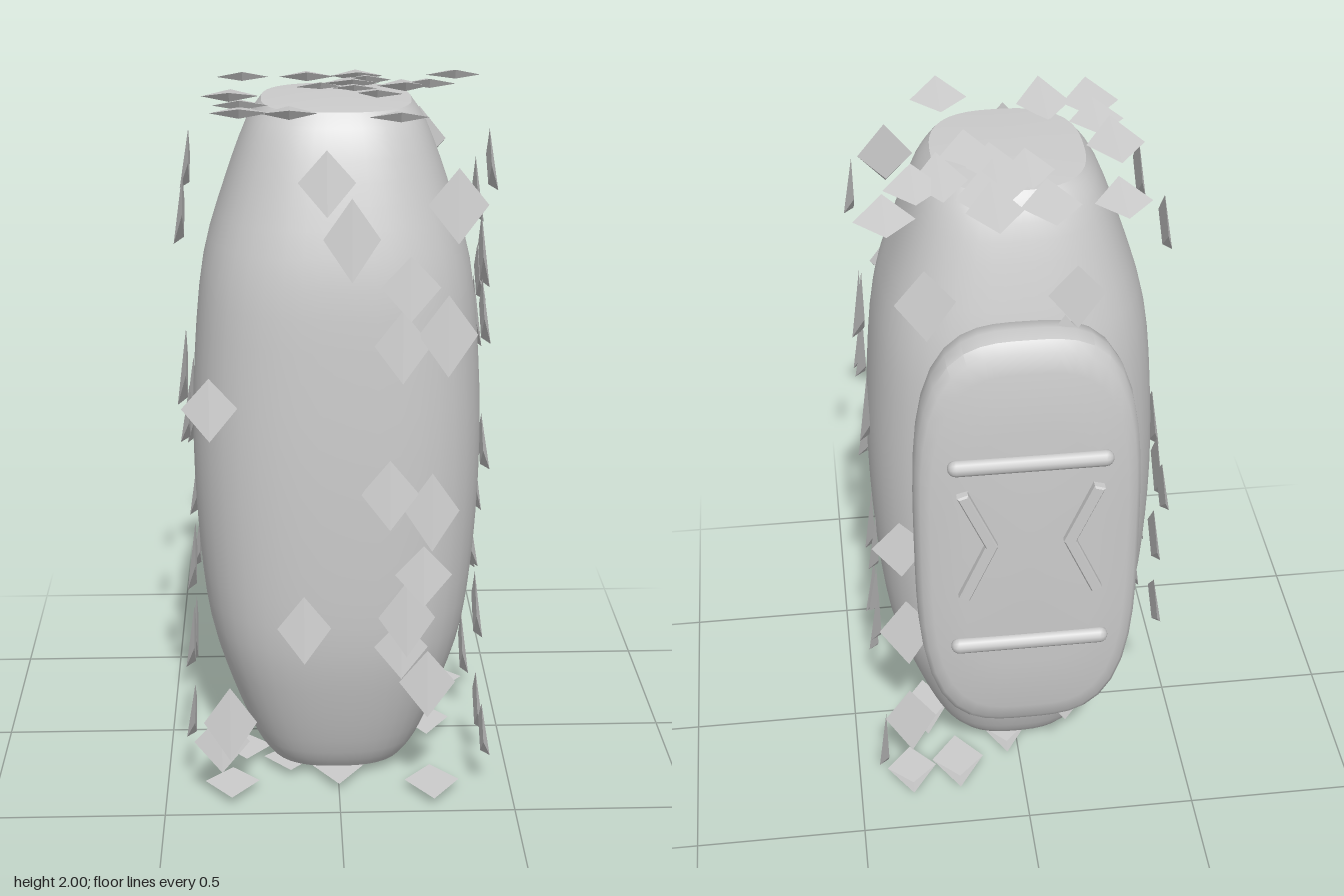
import * as THREE from 'three';
import { mergeVertices, toCreasedNormals } from 'three/addons/utils/BufferGeometryUtils.js';

const grey = new THREE.MeshStandardMaterial({ color: 0xcccccc });
const flatGrey = new THREE.MeshStandardMaterial({ color: 0xcccccc, flatShading: true });

function add(group, name, geometry, material = grey) {
  const mesh = new THREE.Mesh(geometry, material);
  mesh.name = name;
  group.add(mesh);
  return mesh;
}

// Lathe whose round section becomes a squarish superellipse; depth(y) is the z factor
function squareLathe(profile, power, width, depth) {
  let g = new THREE.LatheGeometry(profile.map(([r, y]) => new THREE.Vector2(r, y)), 48);
  const p = g.attributes.position;
  for (let i = 0; i < p.count; i++) {
    const x = p.getX(i), y = p.getY(i), z = p.getZ(i);
    const r = Math.hypot(x, z);
    if (r < 1e-6) continue;
    const k = Math.pow(Math.abs(x / r) ** power + Math.abs(z / r) ** power, -1 / power);
    p.setX(i, x * k * width);
    p.setZ(i, z * k * depth(y));
  }
  g.deleteAttribute('uv');
  g.deleteAttribute('normal');
  g = mergeVertices(g, 1e-4);
  return toCreasedNormals(g, 0.75);
}

// Kite-shaped scale: top point lies on the surface, lower tip lifts away from it
function scaleGeometry() {
  const T = [0, 1, 0], L = [-1, 0, 0], R = [1, 0, 0], B = [0, -1, 1], C = [0, -0.8, 0];
  const faces = [T, L, B, T, B, R, L, C, B, B, C, R, T, C, L, T, R, C];
  const g = new THREE.BufferGeometry();
  g.setAttribute('position', new THREE.Float32BufferAttribute(faces.flat(), 3));
  g.computeVertexNormals();
  return g;
}

// Each side: rotation, placement of (a, b) on its plane, and the scale centres
const sides = {
  front: {
    rot: [0, 0, 0], at: (a, b) => [a, b, 0.456],
    spots: [[-0.035, 1.82], [0.305, 1.76], [0.03, 1.67], [0.185, 1.54], [0.165, 1.38], [0.285, 1.41],
      [-0.35, 1.21], [0.135, 0.96], [0.25, 0.91], [0.23, 0.72], [-0.1, 0.56], [0.185, 0.59],
      [0.17, 0.5], [0.245, 0.39], [-0.31, 0.27], [-0.335, 0.21]],
  },
  left: {
    rot: [0, Math.PI / 2, 0], at: (a, b) => [0.41, b, a],
    spots: [[0.18, 1.82], [-0.165, 1.66], [0.035, 1.53], [-0.06, 1.44], [0.1, 1.37], [-0.14, 1.3],
      [0.16, 1.0], [-0.26, 0.92], [-0.03, 0.82], [-0.08, 0.59], [-0.165, 0.56], [0.1, 0.46],
      [0.37, 0.19], [0.195, 0.19], [-0.275, 0.15]],
  },
  right: {
    rot: [0, -Math.PI / 2, 0], at: (a, b) => [-0.41, b, a],
    spots: [[-0.05, 1.78], [0.34, 1.73], [0.365, 1.3], [0.26, 1.13], [-0.02, 1.11], [-0.125, 1.01],
      [-0.21, 1.0], [-0.135, 0.76], [0.125, 0.64], [-0.19, 0.55], [0.31, 0.47], [0.16, 0.42], [0.38, 0.27]],
  },
  back: {
    rot: [0, Math.PI, 0], at: (a, b) => [a, b, -0.36],
    spots: [[-0.13, 1.77], [0.26, 1.77], [-0.1, 1.6], [0.35, 0.98], [0.22, 0.92], [0.34, 0.67],
      [0.2, 0.5], [-0.12, 0.38], [0.34, 0.32]],
  },
  top: {
    rot: [-Math.PI / 2, 0, 0], at: (a, b) => [a, 1.972, b],
    spots: [[-0.26, -0.26], [-0.075, -0.26], [0.07, -0.27], [0.35, -0.28], [0.09, -0.2], [0.05, -0.15],
      [-0.04, -0.08], [0.05, -0.05], [0.195, -0.1], [0.265, -0.13], [0.11, 0.03], [-0.29, 0.05],
      [-0.26, 0.19], [-0.26, 0.3], [-0.13, 0.31], [0.155, 0.37]],
  },
  bottom: {
    rot: [Math.PI / 2, 0, 0], at: (a, b) => [a, 0.028, b],
    spots: [[0.34, -0.28], [0.195, -0.26], [0.275, -0.01], [0.08, 0.03], [0.035, -0.13], [0.27, 0.37],
      [-0.27, 0.15], [-0.31, 0.36], [0, 0.28], [-0.14, 0.22], [-0.13, 0.05]],
  },
};

// Bent bar: two tapered strokes meeting at an inward point
function chevronGeometry() {
  const s = new THREE.Shape();
  [[0.17, 1.24], [0.2, 1.23], [0.125, 1.055], [0.2, 0.88], [0.17, 0.87], [0.09, 1.055]]
    .forEach(([x, y], i) => (i ? s.lineTo(x, y) : s.moveTo(x, y)));
  return new THREE.ExtrudeGeometry(s, {
    depth: 0.02, bevelEnabled: true, bevelThickness: 0.006, bevelSize: 0.004, bevelOffset: -0.004, bevelSegments: 1,
  });
}

export function createModel() {
  const model = new THREE.Group();

  // Barrel-shaped body
  const curve = new THREE.SplineCurve([
    [0.21, 0.035], [0.25, 0.1], [0.315, 0.27], [0.372, 0.47], [0.4, 0.72], [0.41, 1],
    [0.4, 1.27], [0.372, 1.53], [0.31, 1.74], [0.25, 1.9], [0.205, 1.97],
  ].map(([x, y]) => new THREE.Vector2(x, y)));
  const profile = [[0, 0.03], ...curve.getPoints(30).map((v) => [v.x, v.y]), [0, 1.985]];
  const body = squareLathe(profile, 2.7, 1, (y) => 0.965 + 0.15 * ((y - 1) / 0.97) ** 2);
  body.translate(0, 0, 0.062);
  add(model, 'body', body);

  // Padded pack on the back
  const pack = new THREE.Group();
  pack.name = 'backPack';
  const padProfile = [[0, 0.285], [0.94, 0.29], [0.985, 0.32], [1, 0.37], [0.99, 0.415],
    [0.95, 0.435], [0.87, 0.45], [0.6, 0.463], [0, 0.47]];
  const pad = squareLathe(padProfile, 3.3, 0.312, () => 0.677);
  pad.rotateX(-Math.PI / 2);
  pad.translate(0, 1.005, 0);
  add(pack, 'packPad', pad);

  // Straps across the pack
  for (const y of [1.32, 0.69]) {
    const strap = add(pack, 'packStrap', new THREE.CapsuleGeometry(0.023, 0.4, 4, 10));
    strap.rotation.z = Math.PI / 2;
    strap.position.set(0, y, -0.466);
  }

  // Mirrored chevron trims
  for (const side of [0, 1]) {
    const chevron = add(pack, 'packChevron', chevronGeometry(), flatGrey);
    chevron.position.z = side ? -0.462 : -0.482;
    chevron.rotation.y = side * Math.PI;
  }
  model.add(pack);

  // Scales laid on the six flat sides, slightly varied in size
  const scale = scaleGeometry();
  for (const [name, { rot, at, spots }] of Object.entries(sides)) {
    const group = new THREE.Group();
    group.name = name + 'Scales';
    spots.forEach(([a, b], i) => {
      const m = add(group, 'scale', scale, flatGrey);
      m.position.set(...at(a, b));
      m.rotation.set(...rot);
      m.scale.set(0.075 + 0.004 * (i % 2), 0.085 + 0.012 * (i % 3), 0.028);
    });
    model.add(group);
  }
  return model;
}
